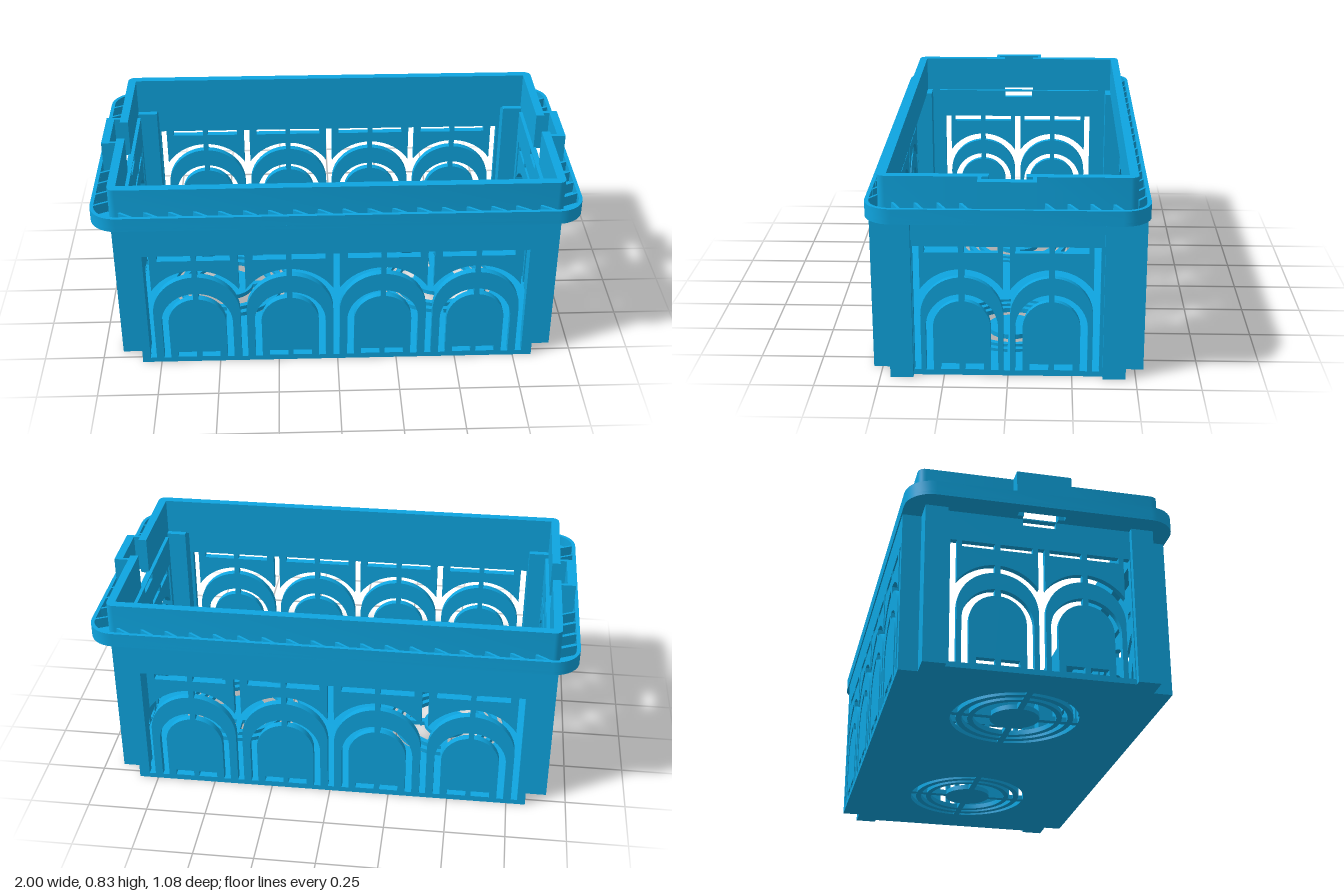
import * as THREE from 'three';
import { toCreasedNormals } from 'three/addons/utils/BufferGeometryUtils.js';

const material = new THREE.MeshStandardMaterial({ color: 0x0ea5e0 });
const V = (x, y) => new THREE.Vector2(x, y);
const polygon = (points) => new THREE.Shape(points.map(([x, y]) => V(x, y)));
const rect = (x0, x1, y0, y1) => polygon([[x0, y0], [x1, y0], [x1, y1], [x0, y1]]);

function arc(cx, cy, r, from, to, n = 14) {
  return Array.from({ length: n + 1 }, (_, i) => {
    const a = from + (to - from) * i / n;
    return [cx + r * Math.cos(a), cy + r * Math.sin(a)];
  });
}

function roundedRect(w, d, r) {
  return polygon([[1, 1], [-1, 1], [-1, -1], [1, -1]].flatMap(([sx, sz], i) =>
    arc(sx * (w - r), sz * (d - r), r, i * Math.PI / 2, (i + 1) * Math.PI / 2, 8)));
}

function extrude(shape, depth) {
  return new THREE.ExtrudeGeometry(shape, { depth, bevelEnabled: false, curveSegments: 12 });
}

function mesh(name, geometry) {
  const m = new THREE.Mesh(toCreasedNormals(geometry, 0.5), material);
  m.name = name;
  return m;
}

// Extrudes a plan drawn in x and z upwards from y0 to y1
function plan(name, shape, y0, y1) {
  return mesh(name, extrude(shape, y1 - y0).rotateX(-Math.PI / 2).translate(0, y0, 0));
}

// Wall pierced by a row of arches that share the upright slots between them
function archPanel(name, halfWidth, bays, pitch, arch, thickness, extraHole) {
  const shape = rect(-halfWidth, halfWidth, 0, 0.675);
  const w = 0.0135, bar = 0.011, y0 = 0.022, yTop = 0.543, cy = 0.255;
  const r = pitch / 2 - w, R = r + 0.034;
  const hole = (pts) => shape.holes.push(polygon(pts));

  // One side of a slot, with its half of the outer arch, listed upwards
  const side = (withArch) => withArch ? [
    [w, y0],
    ...arc(pitch / 2, cy, r, Math.PI, Math.acos(-bar / r)),
    ...arc(pitch / 2, cy, R, Math.acos(-bar / R), Math.acos(-r / R)),
    [w, yTop],
  ] : [[w, y0], [w, yTop]];

  for (let i = 0; i <= bays; i++) {
    const s = (i - bays / 2) * pitch - 0.005;
    hole([
      ...side(i < bays).map(([x, y]) => [s + x, y]),
      ...side(i > 0).map(([x, y]) => [s - x, y]).reverse(),
    ]);
    if (i === bays) break;
    const c = s + pitch / 2;
    const inner = arch - 0.029, innerY = 0.204;
    for (const k of [-1, 1]) {
      // Inner arch with its leg, then the dashes above and below
      const leg = [
        [-arch, y0],
        [-inner, y0],
        ...arc(0, innerY, inner, Math.PI, Math.acos(-bar / inner)),
        ...arc(0, innerY, arch, Math.acos(-bar / arch), Math.PI),
      ];
      hole(leg.map(([x, y]) => [c + k * x, y]));
      for (const [reach, a, b] of [[arch, 0.518, yTop], [arch * 0.6, 0.025, 0.05]])
        hole([[bar, a], [reach, a], [reach, b], [bar, b]].map(([x, y]) => [c + k * x, y]));
    }
  }
  if (extraHole) shape.holes.push(extraHole);
  return mesh(name, extrude(shape, thickness));
}

// Floor outline with notched corners and two round grilles
function floorShape() {
  const quarter = [[0.895, 0.37], [0.92, 0.37], [0.92, 0.46], [0.83, 0.46], [0.83, 0.535]];
  const half = [...quarter, ...quarter.map(([x, z]) => [-x, z]).reverse()];
  const shape = polygon([...half, ...half.map(([x, z]) => [-x, -z])]);
  for (const cx of [-0.47, 0.47])
    for (const [r0, r1] of [[0.1, 0.168], [0.19, 0.213], [0.236, 0.26]])
      for (let q = 0; q < 4; q++) {
        const a = q * Math.PI / 2, b = a + Math.PI / 2;
        const g0 = Math.asin(0.013 / r0), g1 = Math.asin(0.013 / r1);
        shape.holes.push(polygon([
          ...arc(cx, 0.005, r1, a + g1, b - g1),
          ...arc(cx, 0.005, r0, b - g0, a + g0),
        ]));
      }
  return shape;
}

export function createModel() {
  const crate = new THREE.Group();
  crate.name = 'crate';
  crate.add(plan('floor', floorShape(), 0, 0.02));

  // Pierced walls and the parts repeated at each end
  for (const s of [1, -1]) {
    const turn = s > 0 ? 0 : Math.PI;

    const long = archPanel(s > 0 ? 'frontWall' : 'backWall', 0.83, 4, 0.389, 0.149, 0.03);
    long.position.z = s > 0 ? 0.505 : -0.535;
    crate.add(long);

    const end = archPanel(s > 0 ? 'leftWall' : 'rightWall', 0.375, 2, 0.348, 0.141, 0.025,
      rect(-0.067, 0.067, 0.642, 0.67));
    end.rotation.y = Math.PI / 2;
    end.position.x = s > 0 ? 0.87 : -0.895;
    crate.add(end);

    // Half of the upper lip, leaving a gap at each end for the handle
    const lip = plan('upperLip', polygon([
      [0.885, 0.07], [0.92, 0.07],
      ...arc(0.89, 0.46, 0.03, 0, Math.PI / 2, 5),
      ...arc(-0.89, 0.46, 0.03, Math.PI / 2, Math.PI, 5),
      [-0.92, 0.07], [-0.885, 0.07], [-0.885, 0.455], [0.885, 0.455],
    ]), 0.67, 0.833);
    lip.rotation.y = turn;
    crate.add(lip);

    const bracket = plan('handleBracket', polygon([
      [0.92, -0.11], [0.98, -0.11], [0.98, 0.11], [0.92, 0.11],
      [0.92, 0.095], [0.946, 0.095], [0.946, -0.095], [0.92, -0.095],
    ]), 0.67, 0.833);
    bracket.rotation.y = turn;
    crate.add(bracket);
  }

  // Stepped corner posts
  const post = [
    [0.83, 0.535], [0.83, 0.46], [0.92, 0.46], [0.92, 0.37], [0.87, 0.37],
    [0.87, 0.395], [0.885, 0.395], [0.885, 0.43], [0.8, 0.43], [0.8, 0.535],
  ];
  for (const sx of [-1, 1])
    for (const sz of [-1, 1])
      crate.add(plan('cornerPost', polygon(post.map(([x, z]) => [sx * x, sz * z])), 0, 0.675));

  // Rim: base plate, outer wall and slanted ribs
  const base = roundedRect(1, 0.54, 0.11);
  base.holes.push(polygon([
    [0.89, 0.46], [-0.89, 0.46], [-0.89, 0.095], [-0.946, 0.095], [-0.946, -0.095], [-0.89, -0.095],
    [-0.89, -0.46], [0.89, -0.46], [0.89, -0.095], [0.946, -0.095], [0.946, 0.095], [0.89, 0.095],
  ]));
  crate.add(plan('rimBase', base, 0.67, 0.685));
  const wall = roundedRect(1, 0.54, 0.11);
  wall.holes.push(roundedRect(0.985, 0.525, 0.095));
  crate.add(plan('rimWall', wall, 0.67, 0.73));

  const ribs = new THREE.Group();
  ribs.name = 'rimRibs';
  const addRib = (x, z, length, angle) => {
    const rib = mesh('rimRib', new THREE.BoxGeometry(length, 0.05, 0.01));
    rib.position.set(x, 0.704, z);
    rib.rotation.y = angle;
    ribs.add(rib);
  };
  for (const s of [-1, 1]) {
    for (let i = 0; i < 18; i++) addRib(-0.85 + i * 0.1, s * 0.508, 0.066, -0.6);
    for (let i = 0; i < 4; i++)
      for (const k of [-1, 1]) addRib(s * 0.953, k * (0.16 + i * 0.085), 0.075, 0.45);
  }
  crate.add(ribs);
  return crate;
}
